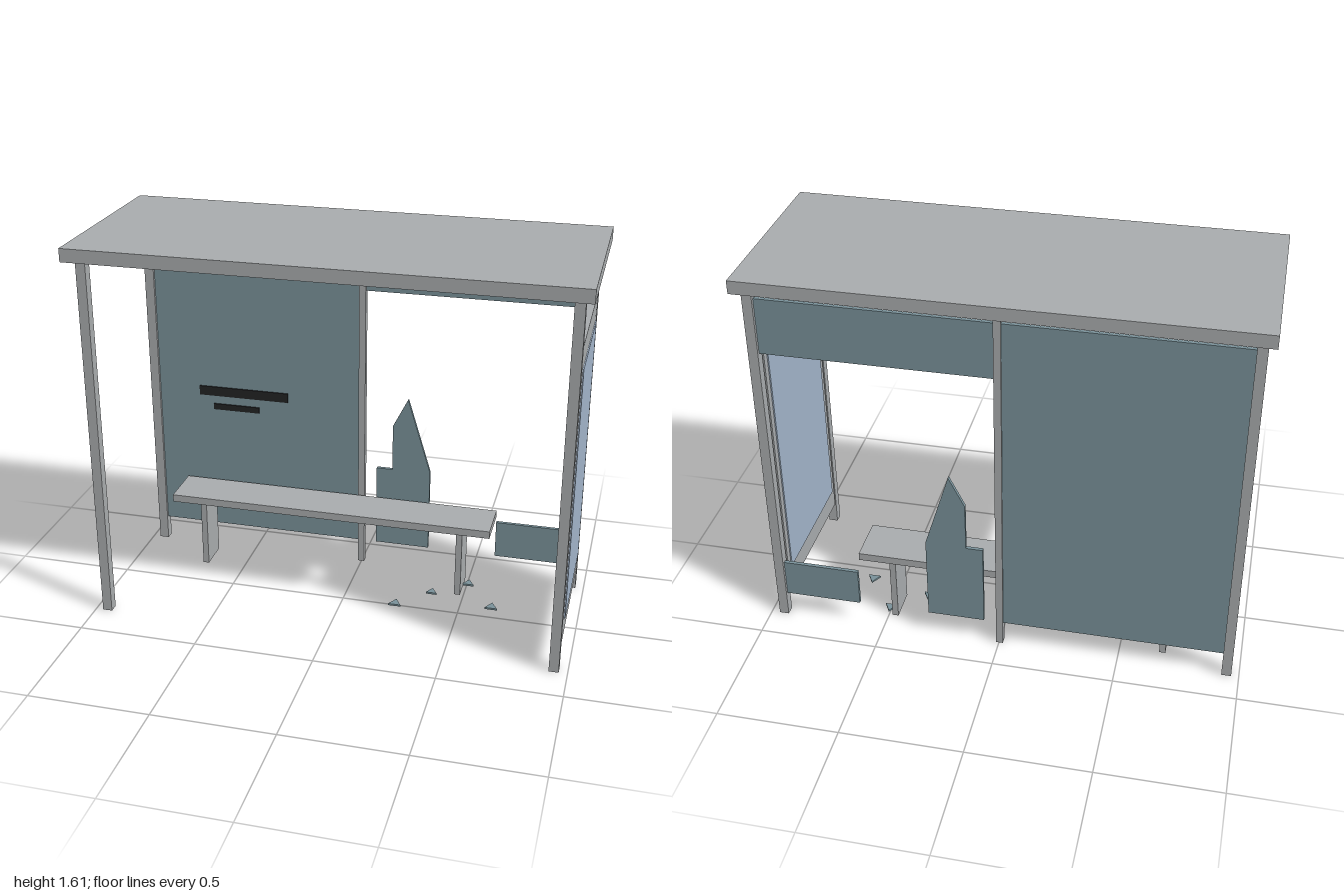
import * as THREE from 'three';

export function createModel() {
  const model = new THREE.Group();
  model.name = 'shelter';

  const material = (name, color) => {
    const m = new THREE.MeshStandardMaterial({ color });
    m.name = name;
    return m;
  };
  const metal = material('grey metal', 0xa9acae);
  const glass = material('teal glass', 0x7a929a);
  const poster = material('pale blue poster', 0xa3b5ca);
  const ink = material('black paint', 0x222324);

  const add = (name, geometry, mat) => {
    const mesh = new THREE.Mesh(geometry, mat);
    mesh.name = name;
    model.add(mesh);
    return mesh;
  };
  // Box given by its extents along each axis
  const box = (name, mat, [x0, x1], [y0, y1], [z0, z1]) =>
    add(name, new THREE.BoxGeometry(x1 - x0, y1 - y0, z1 - z0), mat)
      .position.set((x0 + x1) / 2, (y0 + y1) / 2, (z0 + z1) / 2);

  // Roof and posts
  box('roof', metal, [-1, 1], [1.556, 1.61], [-0.408, 0.408]);
  const frontZ = [0.302, 0.342];
  const backZ = [-0.373, -0.333];
  for (const x of [-0.949, 0.945]) {
    box('frontPost', metal, [x - 0.02, x + 0.02], [0, 1.556], frontZ);
    box('backPost', metal, [x - 0.02, x + 0.02], [0, 1.556], backZ);
  }
  box('middlePost', metal, [-0.017, 0.012], [0, 1.556], [-0.368, -0.338]);

  // Back glazing: one whole pane and the remains of a broken one
  const glassZ = [-0.36, -0.345];
  box('wholePane', glass, [-0.93, -0.016], [0.105, 1.52], glassZ);
  box('topPaneRemnant', glass, [0.011, 0.926], [1.285, 1.52], glassZ);
  box('lowPaneRemnant', glass, [0.603, 0.926], [0.105, 0.27], glassZ);
  const outline = [
    [0.065, 0.105], [0.303, 0.105], [0.303, 0.475], [0.2, 0.81],
    [0.135, 0.68], [0.135, 0.472], [0.065, 0.472],
  ].map(([x, y]) => new THREE.Vector2(x, y));
  const shard = new THREE.ExtrudeGeometry(new THREE.Shape(outline), { depth: 0.015, bevelEnabled: false });
  add('standingShard', shard, glass).position.z = glassZ[0];

  // Painted bars on the front of the whole pane
  box('upperPaintBar', ink, [-0.743, -0.337], [0.742, 0.784], [-0.345, -0.339]);
  box('lowerPaintBar', ink, [-0.68, -0.47], [0.677, 0.704], [-0.345, -0.339]);

  // Bench
  box('seat', metal, [-0.81, 0.605], [0.307, 0.34], [-0.322, -0.122]);
  for (const x of [-0.678, 0.472]) {
    box('seatLeg', metal, [x - 0.013, x + 0.013], [0, 0.307], [-0.29, -0.15]);
  }

  // End panel with a poster on each side
  box('posterFrame', metal, [0.925, 0.964], [0.105, 1.355], [-0.32, 0.29]);
  for (const x of [0.92, 0.964]) {
    box('poster', poster, [x, x + 0.005], [0.2, 1.255], [-0.29, 0.258]);
  }

  // Broken glass on the ground
  const pieces = [[0.228, -0.005, 0.031], [0.363, -0.137, 0.027], [0.506, -0.247, 0.029], [0.633, -0.075, 0.031]];
  for (const [x, z, r] of pieces) {
    const piece = add('groundShard', new THREE.CylinderGeometry(r, r, 0.008, 3).toNonIndexed(), glass);
    piece.geometry.computeVertexNormals();
    piece.position.set(x, 0.005, z);
    piece.rotation.y = Math.PI;
  }

  return model;
}
